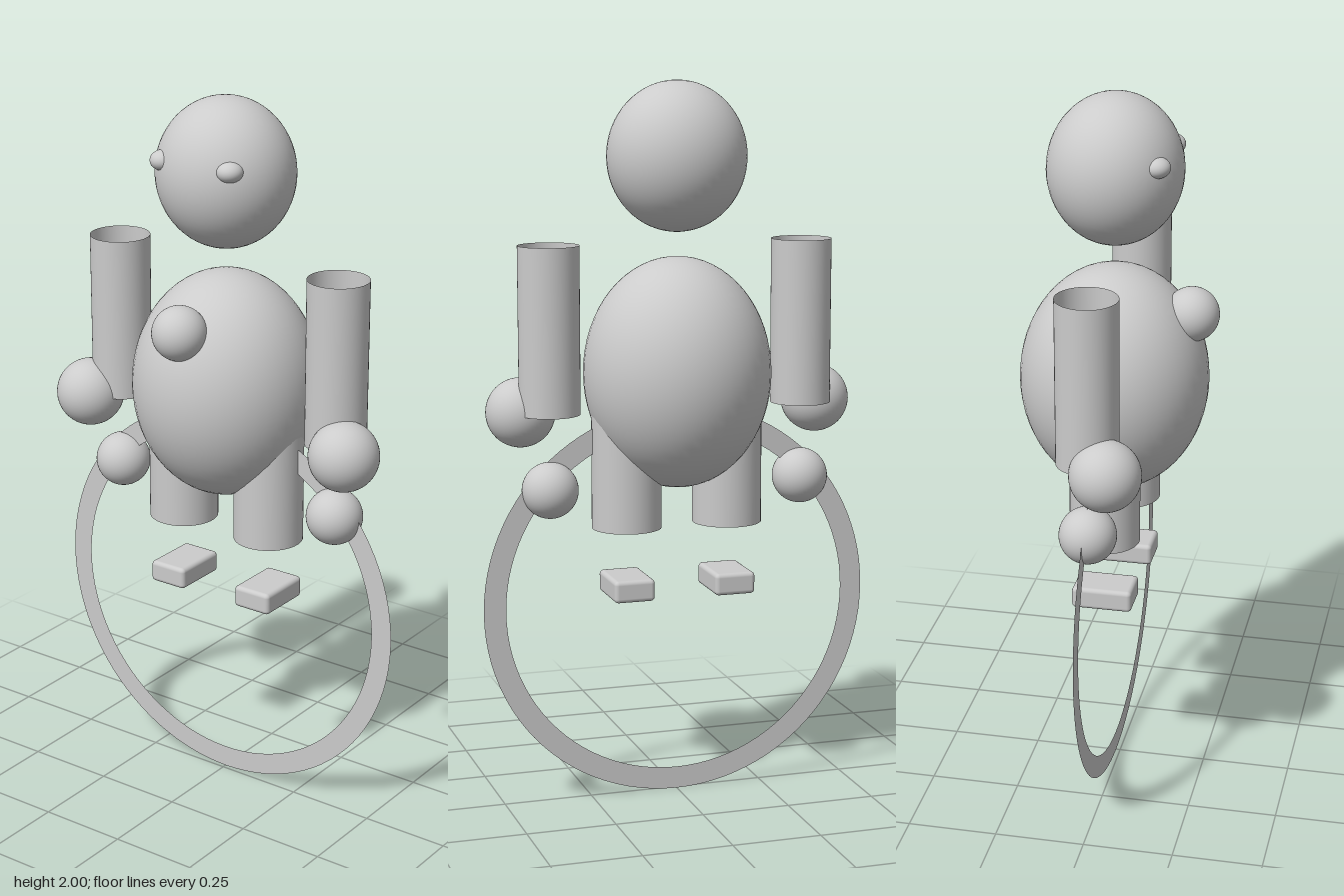
import * as THREE from 'three';
import { RoundedBoxGeometry } from 'three/addons/geometries/RoundedBoxGeometry.js';

export function createModel() {
  const model = new THREE.Group();
  model.name = 'figure';
  const solid = new THREE.MeshStandardMaterial({ color: 0xcccccc });
  const open = new THREE.MeshStandardMaterial({ color: 0xcccccc, side: THREE.DoubleSide });
  const midZ = -0.012;

  function add(name, geometry, x, y, z, material = solid) {
    const mesh = new THREE.Mesh(geometry, material);
    mesh.name = name;
    mesh.position.set(x, y, z);
    model.add(mesh);
    return mesh;
  }
  const ellipsoid = (rx, ry, rz) => new THREE.SphereGeometry(1, 48, 32).scale(rx, ry, rz);
  const tube = (radius, height) => new THREE.CylinderGeometry(radius, radius, height, 48, 1, true);

  // Head, egg-shaped body and the ball on the chest
  add('head', ellipsoid(0.193, 0.205, 0.184), 0, 1.795, midZ);
  add('body', ellipsoid(0.26, 0.32, 0.26), 0, 1.203, -0.015);
  add('chestBall', ellipsoid(0.075, 0.075, 0.075), 0, 1.4, 0.198);

  // Flat upright hoop
  add('hoop', new THREE.RingGeometry(0.492, 0.555, 96), 0, 0.558, midZ, open);

  // Paired parts
  for (const [side, s] of [['left', 1], ['right', -1]]) {
    add(side + 'Eye', ellipsoid(0.036, 0.028, 0.036), s * 0.108, 1.838, 0.12);
    add(side + 'Arm', tube(0.084, 0.46), s * 0.363, 1.333, midZ, open);
    add(side + 'Hand', ellipsoid(0.096, 0.096, 0.096), s * 0.43, 1.102, 0.05);
    add(side + 'HoopBall', ellipsoid(0.078, 0.078, 0.078), s * 0.364, 0.892, midZ);
    add(side + 'Leg', tube(0.097, 0.465), s * 0.146, 1.007, midZ, open);
    add(side + 'Foot', new RoundedBoxGeometry(0.116, 0.062, 0.168, 3, 0.012), s * 0.146, 0.609, midZ);
  }
  return model;
}
